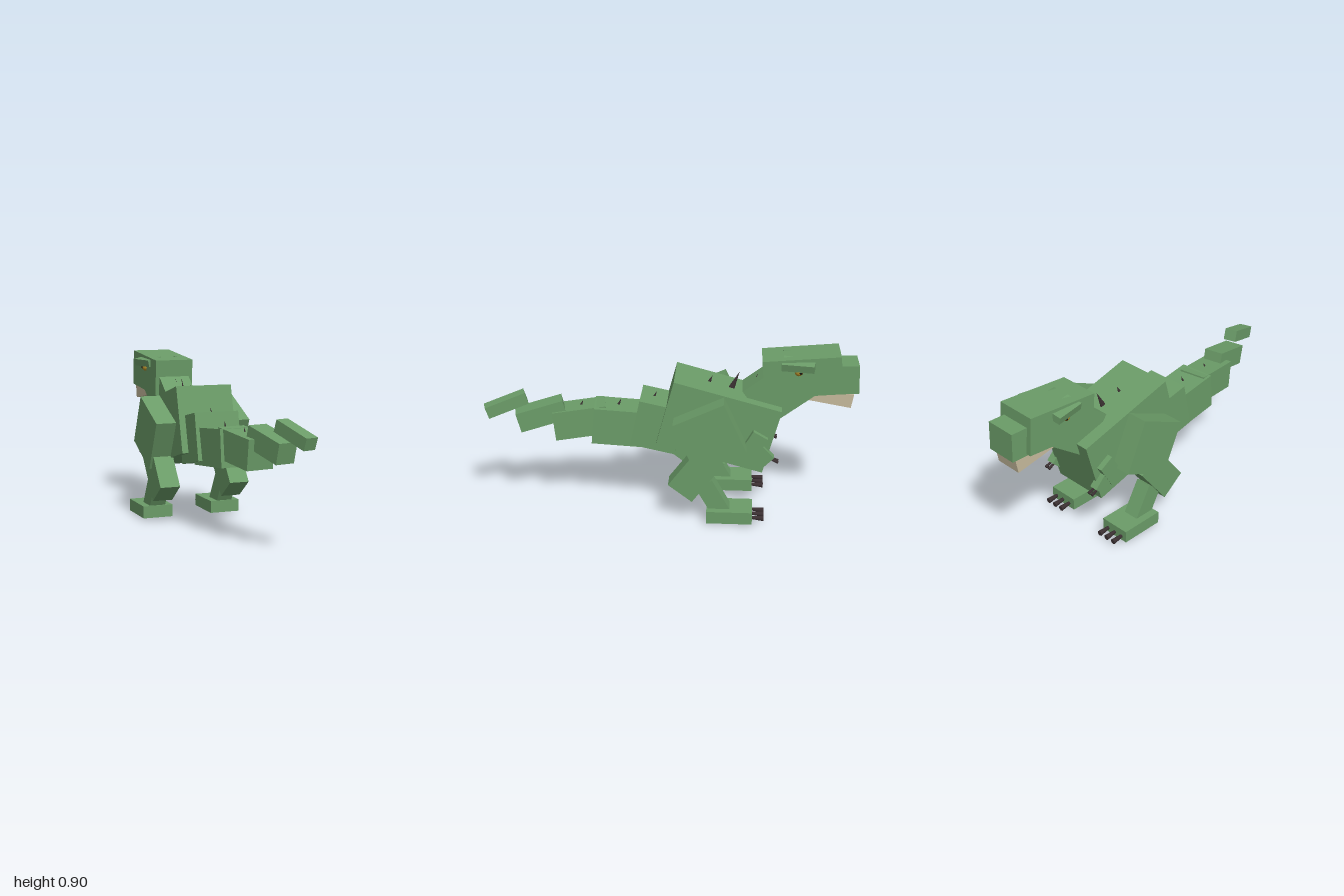
import * as THREE from 'three';

export function createModel() {
  const model = new THREE.Group();
  model.name = 'blockyDinosaur';

  const mat = (name, color) => {
    const m = new THREE.MeshStandardMaterial({ color });
    m.name = name;
    return m;
  };
  const skin = mat('green skin', 0x6b9c68);
  const jawTan = mat('tan jaw', 0xc6ba9c);
  const clawDark = mat('dark claw', 0x3b3032);
  const eyeGold = mat('gold eye', 0xb8902a);
  const pupilBlack = mat('black pupil', 0x151515);

  const rad = THREE.MathUtils.degToRad;

  const add = (name, geometry, material, pos, rot = [0, 0, 0]) => {
    const mesh = new THREE.Mesh(geometry, material);
    mesh.name = name;
    mesh.position.set(...pos);
    // pitch, yaw, roll in degrees; positive pitch raises the -z (head) end
    mesh.rotation.set(rad(rot[0]), rad(rot[1]), rad(rot[2]), 'YXZ');
    model.add(mesh);
    return mesh;
  };
  const box = (name, size, pos, rot, material = skin) =>
    add(name, new THREE.BoxGeometry(...size), material, pos, rot);

  // Body, neck and head
  box('torso', [0.32, 0.365, 0.59], [0, 0.508, -0.265], [-15, 0, 0]);
  box('neck', [0.18, 0.24, 0.3], [0, 0.685, -0.58], [37, 0, 0]);
  box('head', [0.225, 0.205, 0.41], [0, 0.783, -0.7], [5, 0, 0]);
  box('snout', [0.17, 0.155, 0.15], [0, 0.766, -0.922], [2, 0, 0]);
  box('lowerJaw', [0.15, 0.075, 0.25], [0, 0.666, -0.845], [-10, 0, 0], jawTan);

  // Tail, curving toward +x
  const tail = [
    [[0.25, 0.257, 0.245], [0, 0.485, 0.064], [-12, 0, 0]],
    [[0.197, 0.2, 0.325], [0, 0.465, 0.257], [-5, 4, 0]],
    [[0.155, 0.16, 0.29], [0.02, 0.488, 0.49], [6, 9, 0]],
    [[0.11, 0.11, 0.26], [0.067, 0.532, 0.695], [14, 12, 0]],
    [[0.072, 0.065, 0.225], [0.111, 0.6, 0.875], [18, 16, 0]],
  ];
  tail.forEach(([size, pos, rot], i) => box(`tailSegment${i + 1}`, size, pos, rot));

  // Spikes along the back: x, base y, z, height, radius
  const spikes = [
    [0, 0.7, -0.44, 0.07, 0.008],
    [0, 0.67, -0.325, 0.11, 0.018],
    [0, 0.7, -0.205, 0.05, 0.012],
    [0, 0.6, 0.095, 0.055, 0.01],
    [0, 0.56, 0.285, 0.045, 0.009],
    [0.02, 0.555, 0.49, 0.045, 0.009],
  ];
  spikes.forEach(([x, y, z, h, r]) => {
    const cone = new THREE.ConeGeometry(r, h, 8).translate(0, h / 2, 0);
    cone.scale(0.5, 1, 1);
    add('backSpike', cone, clawDark, [x, y, z], [-24, 0, 0]);
  });

  // Legs, arms, eyes and brows on both sides
  for (const s of [1, -1]) {
    const side = s > 0 ? 'left' : 'right';

    box(`${side}Thigh`, [0.135, 0.293, 0.293], [s * 0.206, 0.49, -0.222], [25, 0, 0]);
    box(`${side}UpperLeg`, [0.113, 0.16, 0.285], [s * 0.204, 0.28, -0.153], [53, 0, 0]);
    box(`${side}LowerLeg`, [0.09, 0.1, 0.222], [s * 0.203, 0.12, -0.25], [-60, 0, 0]);
    box(`${side}Foot`, [0.172, 0.068, 0.245], [s * 0.203, 0.041, -0.332]);

    // Blunt toe claws, widening toward the tip
    for (const x of [0.155, 0.205, 0.255]) {
      const claw = new THREE.CylinderGeometry(0.008, 0.015, 0.075, 8).rotateX(Math.PI / 2);
      claw.translate(0, 0, -0.03);
      add(`${side}ToeClaw`, claw, clawDark, [s * x, 0.033, -0.45], [-4, 0, 0]);
    }

    box(`${side}UpperArm`, [0.055, 0.09, 0.145], [s * 0.164, 0.42, -0.453], [60, 0, 0]);
    box(`${side}Forearm`, [0.045, 0.075, 0.115], [s * 0.167, 0.37, -0.497], [-45, 0, 0]);
    for (const x of [0.155, 0.178]) {
      const claw = new THREE.CylinderGeometry(0.004, 0.009, 0.055, 8).rotateX(Math.PI / 2);
      add(`${side}HandClaw`, claw, clawDark, [s * x, 0.338, -0.56], [-22, 0, 0]);
    }

    add(`${side}Eye`, new THREE.SphereGeometry(0.023, 16, 10), eyeGold, [s * 0.109, 0.817, -0.678]);
    add(`${side}Pupil`, new THREE.SphereGeometry(0.009, 10, 8), pupilBlack, [s * 0.127, 0.817, -0.688]);
    box(`${side}Brow`, [0.09, 0.04, 0.17], [s * 0.096, 0.852, -0.678], [0, s * -10, s * -13]);
  }

  return model;
}
